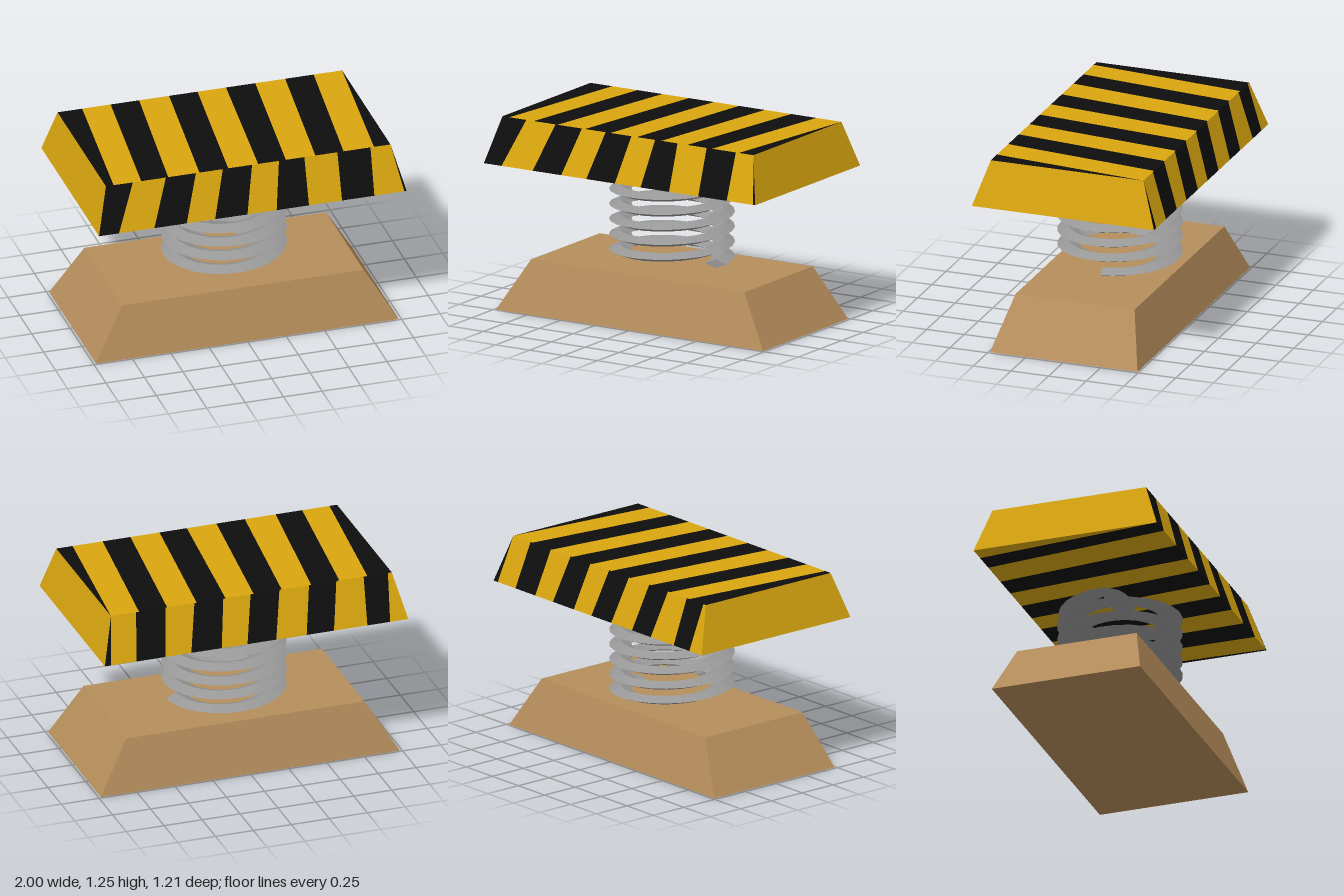
import * as THREE from 'three';

const yellow = new THREE.MeshStandardMaterial({ name: 'yellow paint', color: 0xd9a60f });
const black = new THREE.MeshStandardMaterial({ name: 'black paint', color: 0x0e0e0e });
const wood = new THREE.MeshStandardMaterial({ name: 'tan base', color: 0xb58d5b });
const steel = new THREE.MeshStandardMaterial({ name: 'grey steel', color: 0x989898 });
for (const m of [yellow, black, wood, steel]) m.flatShading = true;

// Collects four-cornered faces, given counter-clockwise from outside
function addQuad(out, a, b, c, d) {
  const area = (p, q, r) => q.clone().sub(p).cross(r.clone().sub(p)).length();
  for (const tri of [[a, b, c], [a, c, d]]) {
    if (area(...tri) > 1e-7) for (const p of tri) out.push(p.x, p.y, p.z);
  }
}

function makeMesh(name, positions, material) {
  const g = new THREE.BufferGeometry();
  g.setAttribute('position', new THREE.Float32BufferAttribute(positions, 3));
  g.computeVertexNormals();
  const mesh = new THREE.Mesh(g, material);
  mesh.name = name;
  return mesh;
}

const row = (xs, y, z) => xs.map((x) => new THREE.Vector3(x, y, z));

// Base: box with its top drawn in
function createBase() {
  const g = new THREE.BoxGeometry(2, 0.33, 2).toNonIndexed();
  const p = g.attributes.position;
  for (let i = 0; i < p.count; i++) {
    const top = p.getY(i) > 0;
    p.setX(i, p.getX(i) * (top ? 0.785 : 0.985));
    p.setZ(i, p.getZ(i) * (top ? 0.395 : 0.49));
  }
  g.translate(0, 0.165, 0);
  g.computeVertexNormals();
  const mesh = new THREE.Mesh(g, wood);
  mesh.name = 'base';
  return mesh;
}

// Striped pad: each face is cut into bands between two rows of points
function createPad() {
  const y0 = 0.96, y1 = 1.25, z0 = 0.605, z1 = 0.507;
  const frontLow = [-1, -1, -0.87, -0.64, -0.43, -0.245, -0.035, 0.155, 0.365, 0.58, 0.79, 0.985, 1];
  const frontHigh = [-0.925, -0.925, -0.75, -0.535, -0.34, -0.165, 0.025, 0.2, 0.365, 0.58, 0.795, 0.925, 0.925];
  const backLow = [-1, -0.88, -0.73, -0.51, -0.33, -0.13, 0.06, 0.23, 0.43, 0.6, 0.79, 0.96, 1];
  const backHigh = [-0.925, -0.9, -0.74, -0.56, -0.38, -0.185, 0.005, 0.185, 0.375, 0.565, 0.76, 0.925, 0.925];
  const topFront = [-0.925, -0.925, -0.875, -0.695, -0.52, -0.317, -0.13, 0.065, 0.245, 0.437, 0.62, 0.818, 0.925];
  const topBack = [-0.925, -0.925, -0.765, -0.58, -0.395, -0.2, -0.015, 0.17, 0.36, 0.555, 0.74, 0.925, 0.925];

  const yellowFaces = [], blackFaces = [];
  const stripe = (near, far) => {
    for (let i = 0; i < near.length - 1; i++) {
      addQuad(i % 2 ? blackFaces : yellowFaces, near[i], near[i + 1], far[i + 1], far[i]);
    }
  };
  stripe(row(frontLow, y0, z0), row(frontHigh, y1, z1));  // front
  stripe(row(backHigh, y1, -z1), row(backLow, y0, -z0));  // back
  stripe(row(topFront, y1, z1), row(topBack, y1, -z1));   // top
  stripe(row(backLow, y0, -z0), row(frontLow, y0, z0));   // underside

  // plain ends
  const v = (x, y, z) => new THREE.Vector3(x, y, z);
  addQuad(yellowFaces, v(1, y0, z0), v(1, y0, -z0), v(0.925, y1, -z1), v(0.925, y1, z1));
  addQuad(yellowFaces, v(-1, y0, -z0), v(-1, y0, z0), v(-0.925, y1, z1), v(-0.925, y1, -z1));

  const pad = new THREE.Group();
  pad.name = 'pad';
  pad.add(makeMesh('yellowBands', yellowFaces, yellow), makeMesh('blackBands', blackFaces, black));
  return pad;
}

// Coil spring: flat diamond section swept along a helix that ends in a centre hook
function createSpring() {
  const perTurn = 12, pts = [];
  for (let i = 0; i <= perTurn * 5.5; i++) {
    const t = i / perTurn, a = t * Math.PI * 2;
    const r = 0.322 - Math.max(0, t - 5.25) * 0.16;
    pts.push(new THREE.Vector3(r * Math.cos(a), 0.366 + 0.096 * t, -r * Math.sin(a)));
  }
  pts.push(
    new THREE.Vector3(-0.2, 0.89, 0.05),
    new THREE.Vector3(-0.08, 0.885, 0.045),
    new THREE.Vector3(0.01, 0.895, 0.02),
    new THREE.Vector3(0.045, 0.93, 0),
    new THREE.Vector3(0.055, 0.975, 0),
  );
  const path = new THREE.CatmullRomCurve3(pts);
  const steps = (pts.length - 1) * 2;
  const rings = [];
  for (let i = 0; i <= steps; i++) {
    const c = path.getPoint(i / steps), t = path.getTangent(i / steps);
    const side = new THREE.Vector3(-t.z, 0, t.x).normalize();
    const up = side.clone().cross(t);
    rings.push([[0.07, 0], [0, 0.028], [-0.07, 0], [0, -0.028]].map(
      ([s, u]) => c.clone().addScaledVector(side, s).addScaledVector(up, u)));
  }
  const faces = [];
  for (let i = 0; i < steps; i++) {
    for (let k = 0; k < 4; k++) {
      const n = (k + 1) % 4;
      addQuad(faces, rings[i][k], rings[i + 1][k], rings[i + 1][n], rings[i][n]);
    }
  }
  addQuad(faces, ...rings[0]);
  addQuad(faces, ...rings[steps].slice().reverse());
  return makeMesh('spring', faces, steel);
}

export function createModel() {
  const model = new THREE.Group();
  model.name = 'springboard';
  model.add(createBase(), createSpring(), createPad());
  return model;
}
